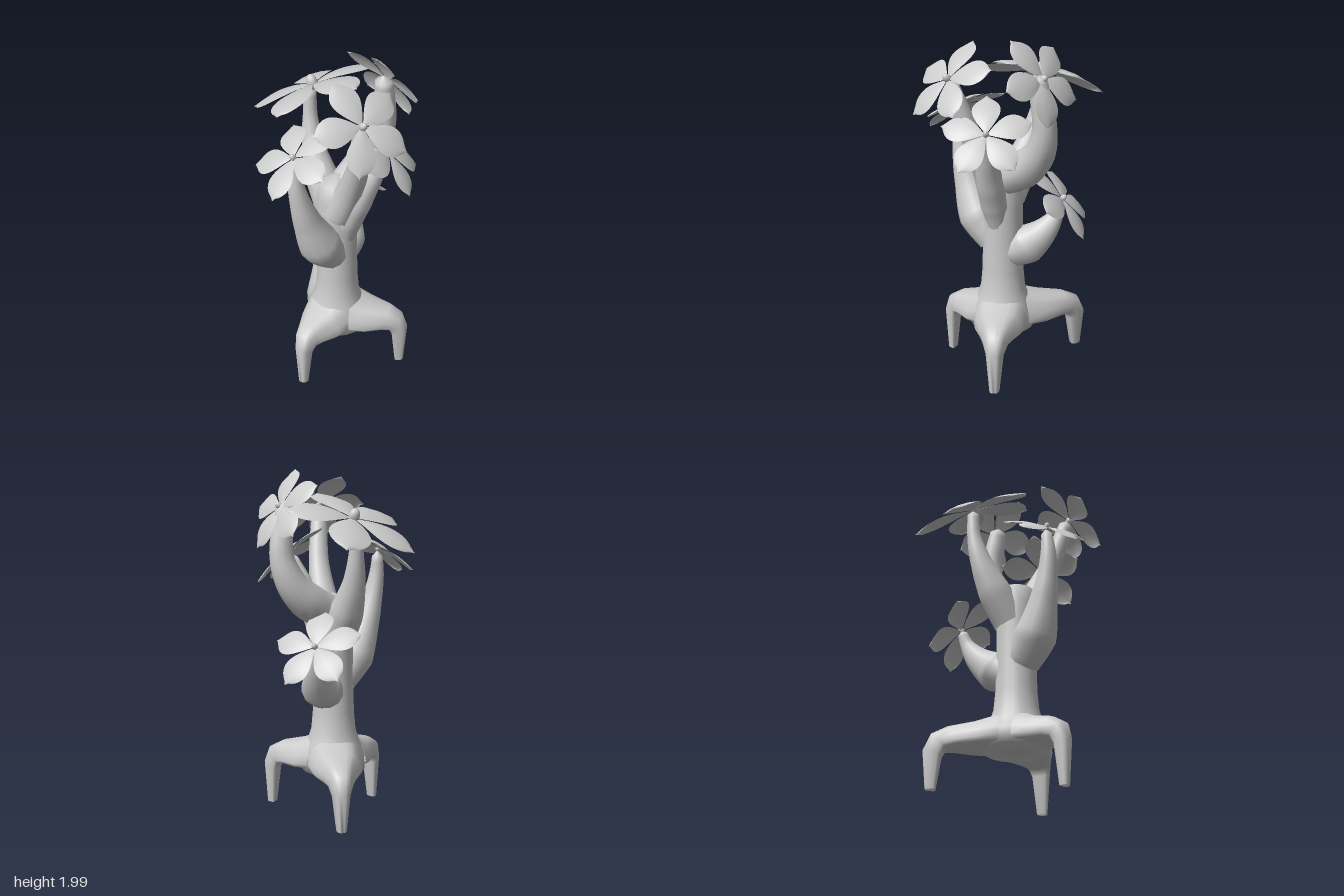
import * as THREE from 'three';
import { mergeVertices } from 'three/addons/utils/BufferGeometryUtils.js';

const V = (p) => new THREE.Vector3(...p);
const grey = new THREE.MeshStandardMaterial({ color: 0xcccccc });
const thin = new THREE.MeshStandardMaterial({ color: 0xcccccc, side: THREE.DoubleSide });

// Merge seams so that the shading is smooth all round
function smooth(geo) {
  geo.deleteAttribute('normal');
  geo.deleteAttribute('uv');
  const g = mergeVertices(geo, 1e-5);
  g.computeVertexNormals();
  return g;
}

function mesh(geo, name, mat = grey) {
  const m = new THREE.Mesh(geo, mat);
  m.name = name;
  return m;
}

// Tube that tapers through a list of [x, y, z, radius] and closes at the tip
function taperedTube(stations) {
  const n = 24, sides = 12;
  const curve = new THREE.CatmullRomCurve3(stations.map((s) => V(s)));
  const geo = new THREE.TubeGeometry(curve, n, 1, sides);
  const pos = geo.attributes.position, v = new THREE.Vector3();
  for (let i = 0; i <= n; i++) {
    const u = i / n, c = curve.getPointAt(u);
    const f = curve.getUtoTmapping(u) * (stations.length - 1);
    const k = Math.min(Math.floor(f), stations.length - 2);
    const r = i === n ? 0.0005 : THREE.MathUtils.lerp(stations[k][3], stations[k + 1][3], f - k);
    for (let j = 0; j <= sides; j++) {
      const id = i * (sides + 1) + j;
      v.fromBufferAttribute(pos, id).sub(c).multiplyScalar(r).add(c);
      pos.setXYZ(id, v.x, v.y, v.z);
    }
  }
  return smooth(geo);
}

// Arched leg along +x: each section is [outer x, outer y, inner x, inner y, half width]
function legGeometry(L, footY) {
  const sections = [
    [0.1, 0.475, 0.11, 0.272, 0.16],
    [0.5 * L, 0.432, 0.5 * L, 0.272, 0.14],
    [0.82 * L, 0.405, 0.74 * L, 0.275, 0.092],
    [1.02 * L, 0.362, 0.84 * L, 0.27, 0.07],
    [1.11 * L, 0.27, 0.88 * L, 0.235, 0.052],
    [1.07 * L, footY, 0.94 * L, footY, 0.03],
  ];
  const sides = 16, verts = [], idx = [];
  const power = (a) => Math.sign(a) * Math.abs(a) ** 0.65;
  sections.forEach(([ox, oy, ix, iy, w], s) => {
    for (let j = 0; j < sides; j++) {
      const a = (j / sides) * Math.PI * 2, t = (1 + power(Math.cos(a))) / 2;
      verts.push(ix + (ox - ix) * t, iy + (oy - iy) * t, power(Math.sin(a)) * w * (1.15 - 0.45 * t));
      if (s) {
        const k = (j + 1) % sides, p = (s - 1) * sides, q = s * sides;
        idx.push(p + j, p + k, q + j, p + k, q + k, q + j);
      }
    }
  });
  // Foot cap
  const base = (sections.length - 1) * sides;
  for (let j = 1; j < sides - 1; j++) idx.push(base, base + j, base + j + 1);
  const g = new THREE.BufferGeometry();
  g.setAttribute('position', new THREE.Float32BufferAttribute(verts, 3));
  g.setIndex(idx);
  g.computeVertexNormals();
  return g;
}

// Rounded petal of unit length along +x with a gentle arch, facing +y
function petalGeometry() {
  const g = new THREE.PlaneGeometry(1, 2, 18, 4).rotateX(-Math.PI / 2);
  const pos = g.attributes.position;
  for (let i = 0; i < pos.count; i++) {
    const t = pos.getX(i) + 0.5, s = pos.getZ(i);
    const w = 0.015 + 0.285 * Math.max(0, Math.sin(Math.PI * t ** 1.35)) ** 0.7;
    const x = 0.04 + 0.96 * t - 0.06 * s * s * t ** 4;
    pos.setXYZ(i, x, 0.2 * t - 0.3 * t * t - 0.15 * s * s * w, s * w);
  }
  g.computeVertexNormals();
  return g;
}
const petal = petalGeometry();

// Five-petalled blossom; its first petal points towards "first"
function flower(at, normal, first, size, budSize, name) {
  const n = V(normal).normalize();
  const x = V(first).addScaledVector(n, -V(first).dot(n)).normalize();
  const z = x.clone().cross(n);
  const f = new THREE.Group();
  f.name = name;
  f.quaternion.setFromRotationMatrix(new THREE.Matrix4().makeBasis(x, n, z));
  f.position.set(...at);
  for (let i = 0; i < 5; i++) {
    const p = mesh(petal, 'petal', thin);
    p.scale.setScalar(size);
    p.rotation.y = (i * Math.PI * 2) / 5;
    f.add(p);
  }
  const bud = mesh(new THREE.SphereGeometry(budSize, 10, 8), 'bud');
  bud.scale.y = 1.4;
  bud.position.y = budSize * 0.4;
  f.add(bud);
  return f;
}

export function createModel() {
  const model = new THREE.Group();
  model.name = 'floweringTree';

  // Trunk with a flared, flat-bottomed base
  const profile = [[0, 0.272], [0.185, 0.272], [0.18, 0.36], [0.155, 0.43], [0.13, 0.51], [0.12, 0.62],
    [0.115, 0.85], [0.115, 1.0], [0.12, 1.15], [0.1, 1.26], [0, 1.31]].map((p) => new THREE.Vector2(...p));
  const trunk = mesh(smooth(new THREE.LatheGeometry(profile, 20)), 'trunk');
  trunk.position.set(0.02, 0, 0.02);
  model.add(trunk);

  // Three legs: foot x, foot z, foot height
  for (const [x, z, y] of [[0.165, 0.385, 0.02], [-0.33, 0.02, 0.01], [0.33, -0.325, 0.05]]) {
    const dx = x - 0.02, dz = z - 0.02;
    const leg = mesh(legGeometry(Math.hypot(dx, dz), y), 'leg', thin);
    leg.position.set(0.02, 0, 0.02);
    leg.rotation.y = Math.atan2(-dz, dx);
    model.add(leg);
  }

  // Branches, as [x, y, z, radius]
  const branches = {
    rightBranch: [[-0.03, 0.79, 0.02, 0.1], [-0.14, 0.92, 0.01, 0.125], [-0.22, 1.09, -0.01, 0.085],
      [-0.27, 1.25, -0.025, 0.06], [-0.292, 1.4, -0.04, 0.043], [-0.285, 1.53, -0.05, 0.028]],
    frontRightBranch: [[-0.01, 1.08, 0.05, 0.1], [-0.025, 1.25, 0.13, 0.08], [-0.07, 1.46, 0.215, 0.06],
      [-0.125, 1.66, 0.265, 0.05], [-0.155, 1.78, 0.285, 0.035]],
    frontBranch: [[0.02, 0.89, 0.075, 0.055], [0.015, 1.03, 0.105, 0.08], [0.02, 1.17, 0.16, 0.08],
      [0.04, 1.34, 0.235, 0.058], [0.07, 1.51, 0.305, 0.028]],
    leftBranch: [[0.06, 1.2, 0.045, 0.11], [0.19, 1.275, 0.06, 0.108], [0.285, 1.38, 0.09, 0.088],
      [0.33, 1.53, 0.12, 0.068], [0.31, 1.7, 0.13, 0.06], [0.285, 1.84, 0.135, 0.045]],
    backBranch: [[0.03, 1.05, -0.02, 0.1], [0.06, 1.22, -0.12, 0.098], [0.09, 1.39, -0.2, 0.065],
      [0.115, 1.56, -0.237, 0.042], [0.125, 1.74, -0.24, 0.033]],
    lowBranch: [[0.07, 0.735, 0.01, 0.1], [0.16, 0.785, -0.015, 0.118], [0.245, 0.865, -0.06, 0.078],
      [0.3, 0.96, -0.1, 0.042], [0.32, 1.05, -0.13, 0.025]],
  };
  for (const [name, path] of Object.entries(branches)) model.add(mesh(taperedTube(path), name, thin));

  // Blossoms on the branch tips
  model.add(
    flower([-0.16, 1.785, 0.3], [-0.3, 0.7, 0.64], [0.03, 0.17, -0.2], 0.275, 0.022, 'frontRightFlower'),
    flower([0.08, 1.515, 0.315], [0.26, 0.73, 0.63], [-0.23, 0.04, 0.055], 0.26, 0.017, 'frontFlower'),
    flower([0.32, 1.805, 0.135], [0.83, 0.52, 0.2], [-0.16, 0.2, 0.05], 0.265, 0.02, 'leftFlower'),
    flower([0.125, 1.75, -0.225], [0, 0.9, -0.4], [-0.22, 0, 1], 0.385, 0.032, 'backFlower'),
    flower([-0.29, 1.54, -0.05], [-0.5, 0.82, -0.2], [-0.08, 0, -0.2], 0.26, 0.017, 'rightFlower'),
    flower([0.325, 1.055, -0.125], [0.7, 0.68, -0.2], [0, 1, 0.15], 0.265, 0.017, 'lowFlower'),
  );
  return model;
}
